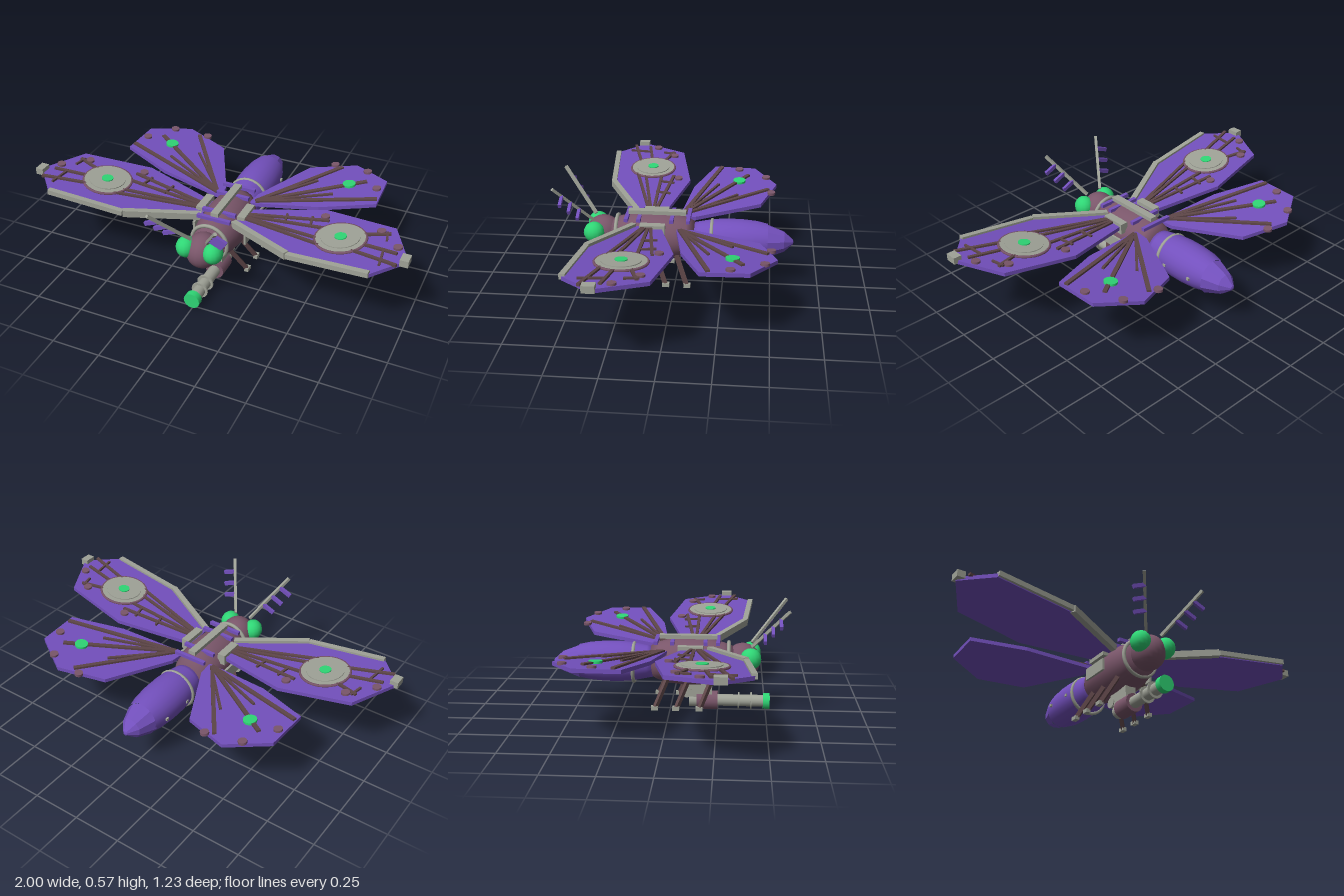
import * as THREE from 'three';

const mat = (name, color) => {
  const m = new THREE.MeshStandardMaterial({ color });
  m.name = name;
  return m;
};

export function createModel() {
  const purple = mat('purple', 0x7350bd), mauve = mat('mauve', 0x7a566a), grey = mat('grey', 0x9fa297);
  const green = mat('green', 0x2fd675), brown = mat('brown', 0x5e4648);
  const root = new THREE.Group();
  root.name = 'mechanicalMoth';

  const add = (name, geo, material, x = 0, y = 0, z = 0) => {
    const m = new THREE.Mesh(geo, material);
    m.name = name;
    m.position.set(x, y, z);
    root.add(m);
    return m;
  };
  const box = (name, m, w, h, d, x, y, z) => add(name, new THREE.BoxGeometry(w, h, d), m, x, y, z);
  // Bar with a w by h section between two points
  const bar = (name, m, a, b, w, h = w) => {
    const A = new THREE.Vector3(...a), B = new THREE.Vector3(...b);
    const mesh = add(name, new THREE.BoxGeometry(w, h, A.distanceTo(B)), m);
    mesh.position.copy(A).add(B).multiplyScalar(0.5);
    mesh.lookAt(B);
  };
  // Body of revolution along z from [z, radius] pairs
  const latheGeo = (pts, sides) =>
    new THREE.LatheGeometry(pts.map(([z, r]) => new THREE.Vector2(r, z)), sides).rotateX(Math.PI / 2);
  const tubeZ = (name, m, r, z0, z1, y) => add(name,
    new THREE.CylinderGeometry(r, r, z1 - z0, 16).rotateX(Math.PI / 2), m, 0, y, (z0 + z1) / 2);
  const ringZ = (name, m, r, t, y, z) => add(name, new THREE.TorusGeometry(r, t, 8, 28), m, 0, y, z);

  // Body
  add('thorax', latheGeo([[-0.1, 0], [-0.1, 0.08], [-0.06, 0.1], [0, 0.116], [0.07, 0.124], [0.15, 0.123],
    [0.22, 0.115], [0.28, 0.1], [0.33, 0.082], [0.35, 0]], 24), mauve, 0, 0.262);
  add('head', new THREE.SphereGeometry(0.092, 20, 14), mauve, 0, 0.27, 0.378).scale.x = 0.93;
  add('abdomen', latheGeo([[-0.48, 0.086], [-0.42, 0.099], [-0.34, 0.106], [-0.26, 0.106], [-0.19, 0.1],
    [-0.12, 0.086], [-0.075, 0.077], [-0.075, 0]], 24), purple, 0, 0.255);
  // Faceted tail
  const tail = latheGeo([[-0.615, 0], [-0.612, 0.012], [-0.565, 0.054], [-0.475, 0.089]], 10).toNonIndexed();
  tail.computeVertexNormals();
  add('tailCone', tail, purple, 0, 0.25);
  ringZ('collar', grey, 0.096, 0.01, 0.268, 0.305);
  ringZ('waistRing', grey, 0.1, 0.01, 0.25, -0.19);

  // Spine with cross braces
  box('spine', grey, 0.04, 0.02, 0.3, 0, 0.393, 0.095);
  for (const z of [-0.07, 0.015, 0.185, 0.25])
    box('spineBrace', purple, 0.18, 0.018, 0.02, 0, 0.374, z);

  // Belly cannon
  box('cannonMount', grey, 0.06, 0.08, 0.14, 0, 0.115, 0.15);
  add('mountJoint', new THREE.CylinderGeometry(0.028, 0.028, 0.07, 14).rotateZ(Math.PI / 2), grey, 0, 0.1, 0.088);
  tubeZ('cannonBreech', mauve, 0.049, 0.14, 0.25, 0.052);
  tubeZ('breechCap', grey, 0.034, 0.1, 0.145, 0.05);
  tubeZ('barrel', grey, 0.031, 0.24, 0.49, 0.052);
  for (const z of [0.36, 0.425]) tubeZ('barrelRing', grey, 0.044, z - 0.004, z + 0.004, 0.052);
  tubeZ('muzzle', green, 0.042, 0.488, 0.522, 0.052);

  // Wing planes: underside height at the middle and rise per unit outward
  const fore = { y: 0.317, k: 0.1 }, hind = { y: 0.305, k: 0.105 };
  const T = 0.02;
  const top = (w, x) => w.y + w.k * x + T;
  const foreOutline = [[0.09, 0.2], [0.44, 0.385], [0.85, 0.425], [0.99, 0.27], [0.87, 0.03], [0.5, -0.037], [0.09, 0.07]];
  const hindOutline = [[0.08, -0.01], [0.09, -0.1], [0.26, -0.44], [0.5, -0.525], [0.7, -0.4], [0.71, -0.17], [0.44, -0.065]];

  for (const s of [1, -1]) {
    const side = s > 0 ? 'left' : 'right';
    const sheet = (name, w, pts) => {
      const shape = new THREE.Shape(pts.map(([x, z]) => new THREE.Vector2(s * x, -z)));
      const g = new THREE.ExtrudeGeometry(shape, { depth: T, bevelEnabled: false }).rotateX(-Math.PI / 2);
      const p = g.attributes.position;
      for (let i = 0; i < p.count; i++) p.setY(i, p.getY(i) + w.y + w.k * Math.abs(p.getX(i)));
      g.computeVertexNormals();
      add(side + name, g, purple);
    };
    const vein = (w, a, b, t) => bar(side + 'WingVein', brown,
      [s * a[0], top(w, a[0]) + 0.003, a[1]], [s * b[0], top(w, b[0]) + 0.003, b[1]], t, 0.014);
    // Part lying on a wing, tilted with it
    const onWing = (name, geo, m, w, x, z, lift) => {
      add(side + name, geo, m, s * x, top(w, x) + lift, z).rotation.z = s * Math.atan(w.k);
    };
    const disc = (r, h) => new THREE.CylinderGeometry(r, r, h, 20);
    const bolts = (w, spots) => {
      for (const [x, z] of spots) onWing('WingBolt', disc(0.022, 0.014), mauve, w, x, z, 0.004);
    };

    // Fore wing with leading spar and tip block
    sheet('ForeWing', fore, foreOutline);
    const spar = [[0.09, 0.208], [0.44, 0.39], [0.85, 0.423]].map(([x, z]) => [s * x, top(fore, x) - 0.002, z]);
    bar(side + 'InnerSpar', grey, spar[0], spar[1], 0.03, 0.036);
    bar(side + 'OuterSpar', grey, spar[1], spar[2], 0.028, 0.026);
    box(side + 'WingTipBlock', grey, 0.042, 0.035, 0.06, s * 0.979, 0.438, 0.28);

    // Fore wing turbine disc, veins and bolts
    onWing('TurbineDisc', disc(0.122, 0.014), grey, fore, 0.64, 0.19, 0.003);
    onWing('TurbineRim', new THREE.TorusGeometry(0.125, 0.007, 6, 28).rotateX(Math.PI / 2), mauve, fore, 0.64, 0.19, 0.004);
    onWing('TurbineCore', disc(0.095, 0.012), grey, fore, 0.64, 0.19, 0.008);
    onWing('TurbineHub', disc(0.03, 0.01), green, fore, 0.64, 0.19, 0.014);
    for (const [a, b] of [[[0.1, 0.12], [0.54, 0.06]], [[0.1, 0.13], [0.53, 0.13]], [[0.1, 0.14], [0.53, 0.22]],
      [[0.1, 0.15], [0.56, 0.27]], [[0.74, 0.13], [0.86, 0.09]], [[0.76, 0.21], [0.93, 0.24]], [[0.72, 0.27], [0.95, 0.33]]])
      vein(fore, a, b, 0.016);
    for (const [x, z0, z1] of [[0.32, 0.06, 0.14], [0.45, 0.05, 0.13], [0.84, 0.08, 0.15], [0.86, 0.22, 0.35]])
      vein(fore, [x, z0], [x + 0.015, z1], 0.011);
    bolts(fore, [[0.81, 0.08], [0.51, 0.03], [0.92, 0.19]]);

    // Hind wing with fanned veins, lamp and bolts
    sheet('HindWing', hind, hindOutline);
    for (const [x, z] of [[0.43, -0.48], [0.6, -0.365], [0.7, -0.21]]) vein(hind, [0.11, -0.03], [x, z], 0.021);
    vein(hind, [0.13, -0.06], [0.35, -0.31], 0.013);
    vein(hind, [0.13, -0.04], [0.47, -0.2], 0.013);
    onWing('HindLamp', disc(0.034, 0.014), green, hind, 0.52, -0.315, 0.005);
    bolts(hind, [[0.385, -0.495], [0.575, -0.465], [0.67, -0.31]]);

    // Eye and barbed antenna
    add(side + 'Eye', new THREE.SphereGeometry(0.055, 14, 10), green, s * 0.073, 0.297, 0.418).scale.x = 0.92;
    const at = t => [s * (0.045 + 0.13 * t), 0.355 + 0.21 * t, 0.425 + 0.18 * t];
    bar(side + 'Antenna', grey, at(0), at(1), 0.015);
    for (const t of [0.35, 0.56, 0.77]) {
      const [x, y, z] = at(t);
      bar(side + 'AntennaBarb', purple, [x, y, z], [x + s * 0.066, y - 0.028, z], 0.016, 0.02);
    }

    // Side armour, shoulder blocks and abdomen bolts
    box(side + 'SidePlate', grey, 0.012, 0.062, 0.16, s * 0.142, 0.25, 0.112);
    box(side + 'ShoulderBlock', grey, 0.042, 0.058, 0.13, s * 0.114, 0.339, 0.11);
    for (const z of [-0.245, -0.41]) box(side + 'AbdomenBolt', grey, 0.012, 0.014, 0.016, s * 0.103, 0.25, z);

    // Three legs with feet
    for (const z of [0.22, 0.1, -0.01]) {
      bar(side + 'Leg', brown, [s * 0.075, 0.185, z], [s * 0.145, 0.045, z - 0.06], 0.018, 0.022);
      box(side + 'Foot', grey, 0.024, 0.02, 0.036, s * 0.145, 0.046, z - 0.062);
    }
  }
  return root;
}
